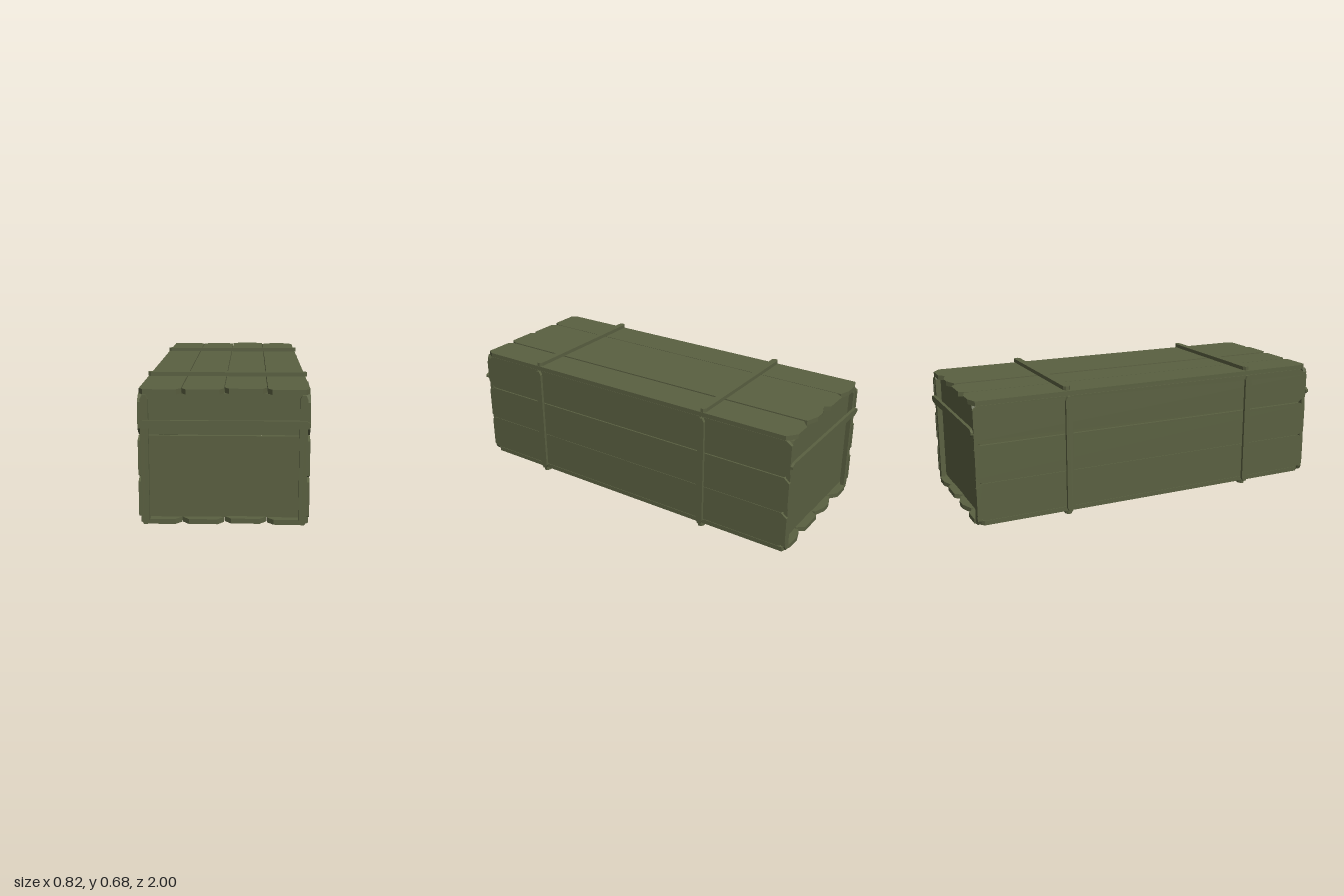
import * as THREE from 'three';

const X = new THREE.Vector3(1, 0, 0), Y = new THREE.Vector3(0, 1, 0), Z = new THREE.Vector3(0, 0, 1);
const neg = (v) => v.clone().negate();

// Board orientations: length, width and thickness axes
const LIE = [Z, X, Y];              // lengthways, lying flat
const STAND = [Z, neg(Y), X];       // lengthways, on the side walls
const ACROSS = [X, neg(Z), Y];      // crosswise, lying flat
const UPRIGHT = [Y, Z, X];          // vertical, on the side walls
const END = [X, Y, Z];              // crosswise, on the end walls
const END_UPRIGHT = [Y, neg(X), Z]; // vertical, on the end walls

export function createModel() {
  const group = new THREE.Group();
  const paint = new THREE.MeshStandardMaterial({ color: 0x5a6041 });
  paint.name = 'olive painted wood';

  // Board with clipped corners; c0 and c1 are [along, across] clips at its two ends
  function board(name, axes, centre, length, width, thick, c0 = [0, 0], c1 = c0) {
    const l = length / 2, w = width / 2;
    const points = [
      [-l + c0[0], -w], [l - c1[0], -w], [l, -w + c1[1]], [l, w - c1[1]],
      [l - c1[0], w], [-l + c0[0], w], [-l, w - c0[1]], [-l, -w + c0[1]],
    ].map(([a, b]) => new THREE.Vector2(a, b));
    const geometry = new THREE.ExtrudeGeometry(new THREE.Shape(points), { depth: thick, bevelEnabled: false });
    geometry.translate(0, 0, -thick / 2);
    geometry.applyMatrix4(new THREE.Matrix4().makeBasis(...axes));
    const mesh = new THREE.Mesh(geometry, paint);
    mesh.position.set(...centre);
    mesh.name = name;
    group.add(mesh);
  }

  // Lid and floor: four planks each, the third sitting slightly proud
  const lidBack = [[0.02, 0.06], [0.04, 0.03], [0.025, 0.07], [0.04, 0.05]];
  for (let i = 0; i < 4; i++) {
    const x = -0.294 + i * 0.197, lift = i === 2 ? 0.004 : 0;
    board('lidPlank', LIE, [x, 0.644 + lift, -0.01], 1.965, 0.193, 0.024, lidBack[i], [0.035, 0.02]);
    board('floorPlank', LIE, [x, 0.031 + lift, -0.01], 1.965, 0.193, 0.024, lidBack[3 - i], [0.035, 0.03]);
  }

  for (const s of [-1, 1]) {
    // Three planks for each side wall
    board('sidePlank', STAND, [s * 0.385, 0.143, -0.005], 1.965, 0.193, 0.02, [0.035, 0.025], [0.04, 0.015]);
    board('sidePlank', STAND, [s * 0.385, 0.338, -0.005], 1.965, 0.193, 0.02, [0.03, 0.025], [0.04, 0.015]);
    board('sidePlank', STAND, [s * 0.385, 0.536, -0.005], 1.965, 0.193, 0.02, [0.03, 0.02], [0.045, 0.035]);

    // End wall panels, uprights and crossbar
    const panelZ = s > 0 ? 0.925 : -0.94;
    board('endPanelLower', END, [0, 0.238, panelZ], 0.75, 0.389, 0.02);
    board('endPanelUpper', END, [0, 0.535, panelZ], 0.75, 0.194, 0.02);
    for (const t of [-1, 1]) {
      board('endUpright', END_UPRIGHT, [t * 0.364, 0.326, s * 0.974], 0.61, 0.037, 0.022, [0.02, 0.01]);
    }
    board('endCrossbar', END, [0.002, 0.498, s * 0.992], 0.785, 0.037, 0.016, [0.02, 0.012]);
  }

  // Two battened bands around the crate
  for (const z of [0.57, -0.497]) {
    board('topBatten', ACROSS, [0.005, 0.67, z], 0.79, 0.036, 0.02, [0.015, 0.01]);
    board('bottomBatten', ACROSS, [0.005, 0.009, z], 0.79, 0.036, 0.019, [0.015, 0.01]);
    for (const s of [-1, 1]) {
      board('sideBatten', UPRIGHT, [s * 0.402, 0.325, z], 0.612, 0.036, 0.016, [0.02, 0.01]);
    }
  }
  return group;
}
